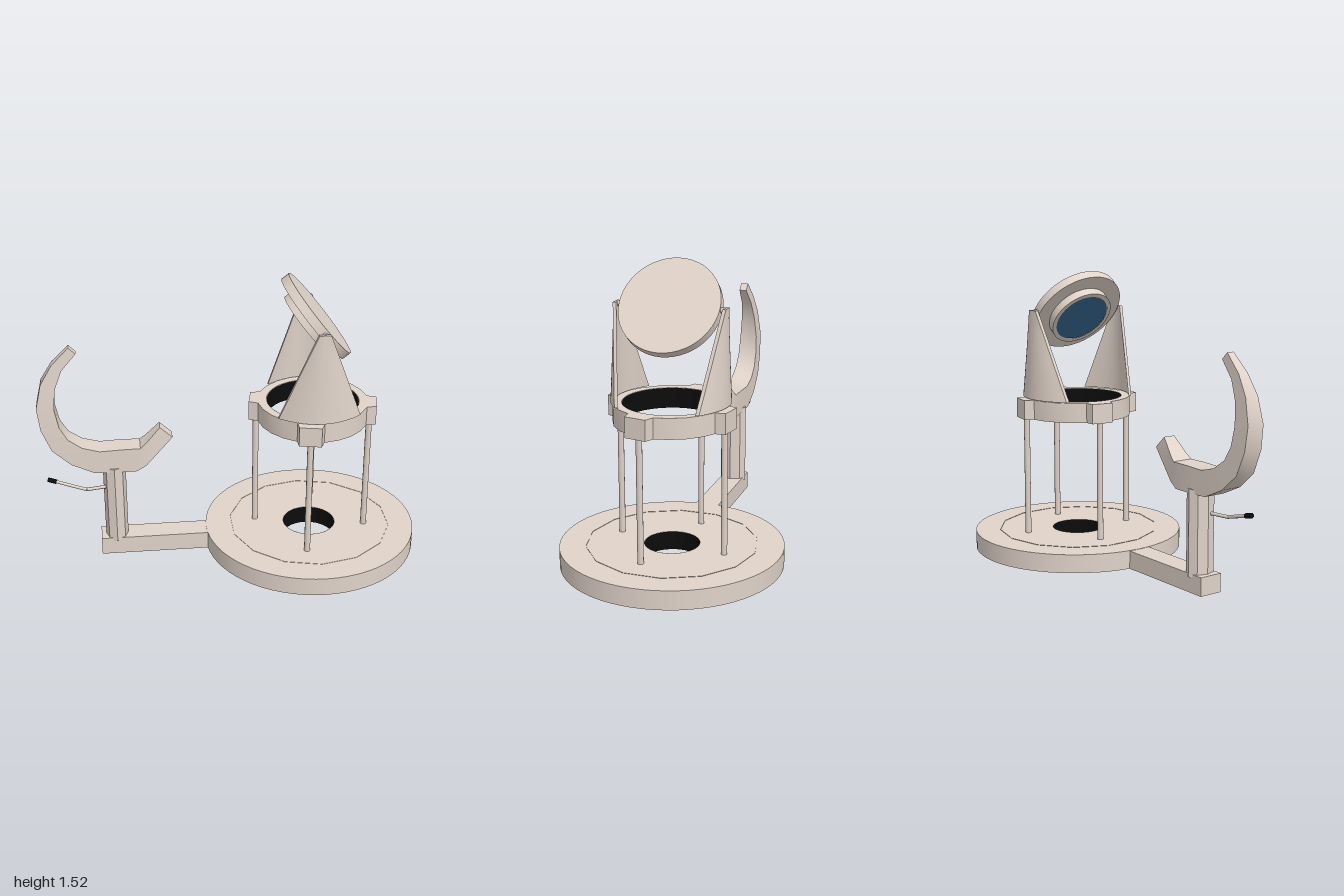
import * as THREE from 'three';
import { toCreasedNormals } from 'three/addons/utils/BufferGeometryUtils.js';

const CX = 0.43; // axis of the round stage
const beige = new THREE.MeshStandardMaterial({ color: 0xe0d3c9, side: THREE.DoubleSide });
const black = new THREE.MeshStandardMaterial({ color: 0x0c0c0c, side: THREE.DoubleSide });
const blue = new THREE.MeshStandardMaterial({ color: 0x35688f });

function add(parent, name, geometry, material = beige, x = 0, y = 0, z = 0) {
  const mesh = new THREE.Mesh(geometry, material);
  mesh.name = name;
  mesh.position.set(x, y, z);
  parent.add(mesh);
  return mesh;
}

const tube = (r, h, sides) => new THREE.CylinderGeometry(r, r, h, sides, 1, true);
const disc = (r, h, sides = 48) => new THREE.CylinderGeometry(r, r, h, sides);

function rod(parent, name, a, b, r, material) {
  const from = new THREE.Vector3(...a), to = new THREE.Vector3(...b);
  const mesh = add(parent, name, disc(r, from.distanceTo(to), 8), material);
  mesh.position.copy(from).lerp(to, 0.5);
  mesh.quaternion.setFromUnitVectors(new THREE.Vector3(0, 1, 0), to.sub(from).normalize());
}

// Curved triangular plate: a box tapered upward and bowed outward
function bracketGeometry() {
  const g = new THREE.BoxGeometry(2, 1, 1, 16, 8, 1);
  const p = g.attributes.position;
  for (let i = 0; i < p.count; i++) {
    const u = p.getX(i), t = p.getY(i) + 0.5, side = p.getZ(i) + 0.5;
    const halfWidth = THREE.MathUtils.lerp(0.21, 0.03, t);
    const z = 0.298 - 0.012 * t - 0.085 * u * u * (1 - t) - 0.018 * (1 - side);
    p.setXYZ(i, u * halfWidth, 0.845 + 0.475 * t, z);
  }
  return toCreasedNormals(g, 0.6);
}

// Ring outline with a flat lobe above each leg
function ringGeometry(legAngle) {
  const shape = new THREE.Shape();
  for (let i = 0; i < 4; i++) {
    const a = -legAngle + i * Math.PI / 2;
    for (const [da, r] of [[-0.24, 0.29], [-0.17, 0.337], [0, 0.332], [0.17, 0.337], [0.24, 0.29],
      [0.5, 0.288], [0.785, 0.288], [1.07, 0.288]]) {
      const x = r * Math.cos(a + da), y = r * Math.sin(a + da);
      if (i === 0 && da === -0.24) shape.moveTo(x, y);
      else shape.lineTo(x, y);
    }
  }
  shape.closePath();
  const hole = new THREE.Path();
  hole.absarc(0, 0, 0.242, 0, Math.PI * 2, true);
  shape.holes.push(hole);
  const g = new THREE.ExtrudeGeometry(shape, { depth: 0.105, bevelEnabled: false, curveSegments: 24 });
  g.rotateX(-Math.PI / 2);
  return toCreasedNormals(g, 0.5);
}

// Curved arm lofted through four-cornered sections: outer x,y / inner x,y / half depth
function hookGeometry() {
  const stations = [
    [-0.82, 1.2, -0.785, 1.165, 0.02], [-0.91, 1.11, -0.86, 1.08, 0.028],
    [-0.97, 1.01, -0.9, 0.98, 0.038], [-1, 0.88, -0.91, 0.87, 0.048],
    [-0.985, 0.76, -0.89, 0.77, 0.052], [-0.935, 0.64, -0.85, 0.7, 0.055],
    [-0.84, 0.555, -0.78, 0.65, 0.058], [-0.72, 0.5, -0.69, 0.625, 0.06],
    [-0.6, 0.497, -0.58, 0.63, 0.06], [-0.5, 0.497, -0.48, 0.63, 0.057],
    [-0.45, 0.525, -0.45, 0.655, 0.05], [-0.31, 0.675, -0.375, 0.735, 0.032],
  ];
  const pos = [], index = [];
  for (const [ox, oy, ix, iy, w] of stations) {
    pos.push(ox, oy, w, ix, iy, w, ix, iy, -w, ox, oy, -w);
  }
  const quad = (a, b, c, d) => index.push(a, b, c, a, c, d);
  for (let s = 0; s < stations.length - 1; s++) {
    for (let k = 0; k < 4; k++) {
      const n = (k + 1) % 4, a = s * 4;
      quad(a + k, a + 4 + k, a + 4 + n, a + n);
    }
  }
  quad(0, 1, 2, 3);
  const e = (stations.length - 1) * 4;
  quad(e + 3, e + 2, e + 1, e);
  const g = new THREE.BufferGeometry();
  g.setAttribute('position', new THREE.Float32BufferAttribute(pos, 3));
  g.setIndex(index);
  return toCreasedNormals(g, 0.5);
}

export function createModel() {
  const model = new THREE.Group();
  model.name = 'microscope';

  // Hollow round base with inner rib, central hub and side arm
  const base = new THREE.Group();
  base.name = 'base';
  model.add(base);
  add(base, 'baseWall', tube(0.567, 0.098, 64), beige, CX, 0.049);
  const top = new THREE.RingGeometry(0.14, 0.567, 64);
  top.rotateX(-Math.PI / 2);
  add(base, 'baseTop', top, beige, CX, 0.098);
  add(base, 'baseRib', toCreasedNormals(tube(0.435, 0.1, 14), 0.2), beige, CX, 0.05);
  add(base, 'baseHub', tube(0.14, 0.098, 32), black, CX, 0.049);
  add(base, 'baseArm', new THREE.BoxGeometry(0.58, 0.096, 0.126), beige, -0.415, 0.048);

  // Four legs carrying the lobed ring
  const legAngle = Math.atan2(0.057, 0.292), legRadius = 0.298;
  for (let i = 0; i < 4; i++) {
    const a = legAngle + i * Math.PI / 2;
    add(model, 'leg', disc(0.016, 0.65, 10), beige,
      CX + legRadius * Math.cos(a), 0.42, legRadius * Math.sin(a));
  }
  add(model, 'stageRing', ringGeometry(legAngle), beige, CX, 0.736);
  add(model, 'stageRingLining', tube(0.24, 0.104, 32), black, CX, 0.788);

  // Pair of mirror brackets
  for (const turn of [0, Math.PI]) {
    add(model, 'mirrorBracket', bracketGeometry(), beige, CX).rotation.y = turn;
  }

  // Tilted mirror head: backing disc, small rim and glass
  const head = new THREE.Group();
  head.name = 'mirrorHead';
  head.position.set(0.433, 1.31, 0);
  head.rotation.z = -Math.atan2(0.782, 0.624);
  model.add(head);
  add(head, 'mirrorBacking', disc(0.255, 0.048));
  add(head, 'mirrorRim', tube(0.175, 0.045, 40), beige, 0, -0.045);
  const rim = new THREE.RingGeometry(0.152, 0.175, 40);
  rim.rotateX(Math.PI / 2);
  add(head, 'mirrorRimFace', rim, beige, 0, -0.067);
  add(head, 'mirrorGlass', disc(0.153, 0.04, 40), blue, 0, -0.044);
  const pin = disc(0.014, 0.55, 12);
  pin.rotateX(Math.PI / 2);
  add(head, 'pivotPin', pin);

  // Column, curved arm and lever
  const column = disc(0.06, 0.44, 8);
  column.scale(1, 1, 1.22);
  add(model, 'column', toCreasedNormals(column, 0.3), beige, -0.62, 0.3);
  add(model, 'curvedArm', hookGeometry());
  const elbow = [-0.77, 0.396, 0.045], grip = [-0.925, 0.438, 0.02];
  rod(model, 'leverRod', [-0.64, 0.396, 0.02], elbow, 0.009, beige);
  rod(model, 'leverRod', elbow, grip, 0.009, beige);
  rod(model, 'leverGrip', grip, [-0.97, 0.45, 0.013], 0.013, black);
  return model;
}
